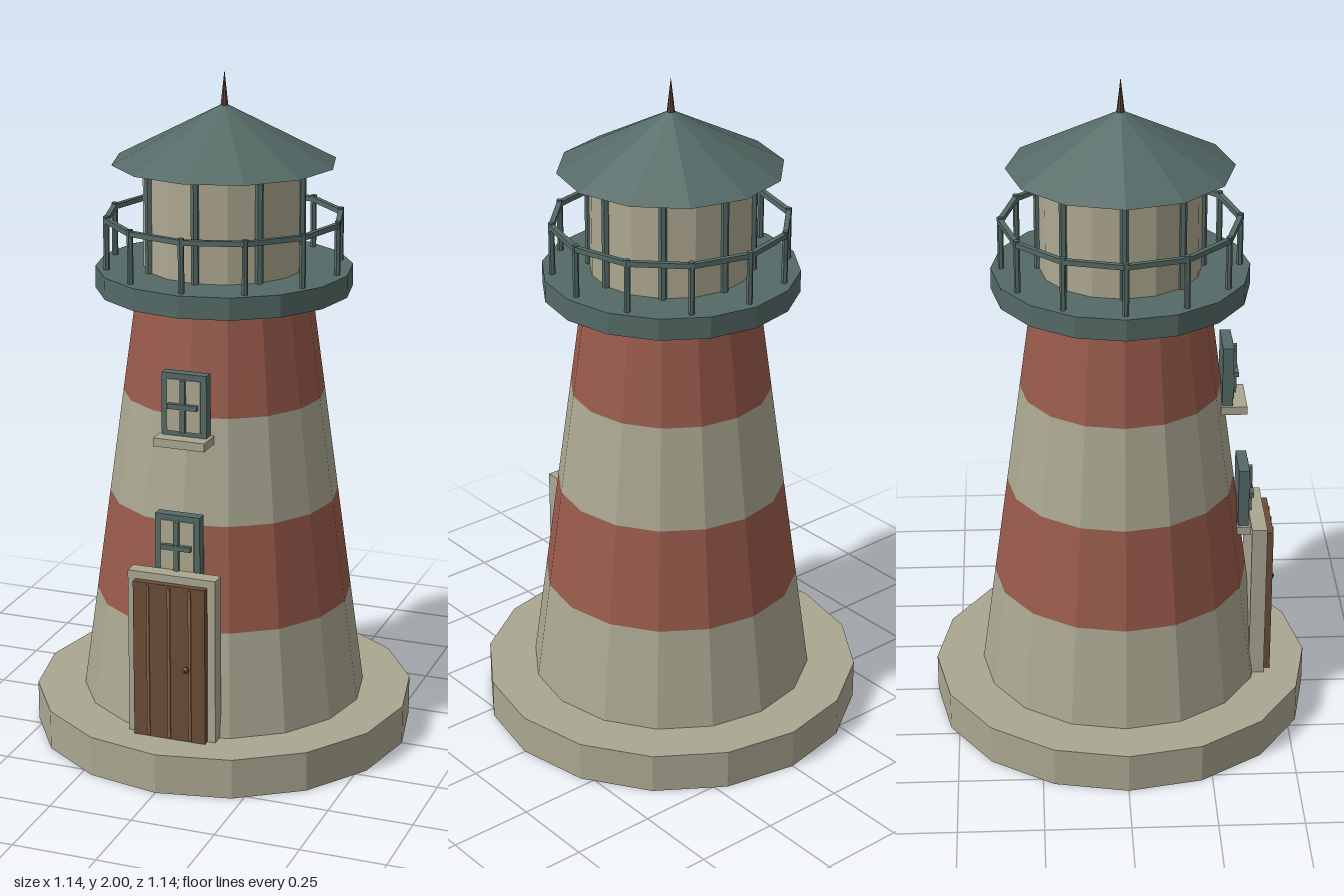
import * as THREE from 'three';

const mat = (name, color) => {
  const m = new THREE.MeshStandardMaterial({ color, flatShading: true });
  m.name = name;
  return m;
};

export function createModel() {
  const model = new THREE.Group();
  model.name = 'lighthouse';

  const cream = mat('cream stone', 0xaaa791);
  const red = mat('faded red', 0x985a4b);
  const teal = mat('slate teal', 0x546a66);
  const glass = mat('pale glass', 0xaea890);
  const wood = mat('door wood', 0x6a4c37);
  const strip = mat('light wood', 0x84644a);
  const bronze = mat('dark bronze', 0x5e4234);

  const add = (name, geometry, material, x = 0, y = 0, z = 0, parent = model) => {
    const mesh = new THREE.Mesh(geometry, material);
    mesh.name = name;
    mesh.position.set(x, y, z);
    parent.add(mesh);
    return mesh;
  };
  // Upright cylinder or cone given by its bottom and top heights
  const drum = (name, rBottom, rTop, y0, y1, sides, material, x = 0, z = 0, parent = model) =>
    add(name, new THREE.CylinderGeometry(rTop, rBottom, y1 - y0, sides), material, x, (y0 + y1) / 2, z, parent);
  // Box centred on x, given by its height and depth ranges
  const block = (name, w, y0, y1, z0, z1, material, x = 0, parent = model) =>
    add(name, new THREE.BoxGeometry(w, y1 - y0, z1 - z0), material, x, (y0 + y1) / 2, (z0 + z1) / 2, parent);

  // Plinth and striped, tapering tower
  drum('plinth', 0.569, 0.569, 0, 0.12, 16, cream);
  const bands = 4, y0 = 0.12, y1 = 1.365;
  const radius = t => 0.425 - 0.17 * t;
  const height = t => y0 + (y1 - y0) * t;
  for (let i = 0; i < bands; i++) {
    const a = i / bands, b = (i + 1) / bands;
    drum('towerBand', radius(a), radius(b), height(a), height(b), 16, i % 2 ? red : cream);
  }

  // Gallery deck and railing
  drum('galleryDeck', 0.375, 0.375, 1.365, 1.43, 16, teal);
  const railing = new THREE.Group();
  railing.name = 'railing';
  model.add(railing);
  const posts = 12, railR = 0.344;
  for (let i = 0; i < posts; i++) {
    const a = (i / posts) * Math.PI * 2;
    drum('railPost', 0.009, 0.009, 1.43, 1.587, 6, teal, railR * Math.sin(a), railR * Math.cos(a), railing);
    const mid = a + Math.PI / posts, r = railR * Math.cos(Math.PI / posts);
    const bar = add('handRail', new THREE.BoxGeometry(2 * railR * Math.sin(Math.PI / posts), 0.015, 0.015),
      teal, r * Math.sin(mid), 1.575, r * Math.cos(mid), railing);
    bar.rotation.y = mid;
  }

  // Lantern room with eight glazing bars
  drum('lanternGlass', 0.235, 0.235, 1.43, 1.735, 16, glass);
  for (let i = 0; i < 8; i++) {
    const a = (i / 8) * Math.PI * 2;
    drum('glazingBar', 0.012, 0.012, 1.43, 1.735, 6, teal, 0.236 * Math.sin(a), 0.236 * Math.cos(a));
  }

  // Roof and spike
  add('roof', new THREE.ConeGeometry(0.327, 0.17, 12), teal, 0, 1.82, 0);
  add('spike', new THREE.ConeGeometry(0.015, 0.13, 8), bronze, 0, 1.935, 0);

  // Door with surround, plank strips and knob
  const door = new THREE.Group();
  door.name = 'door';
  model.add(door);
  block('doorSurround', 0.268, 0.12, 0.62, 0.388, 0.434, cream, 0, door);
  block('doorLeaf', 0.22, 0.12, 0.597, 0.41, 0.455, wood, 0, door);
  for (const x of [-0.064, 0, 0.064])
    block('plankStrip', 0.008, 0.125, 0.59, 0.453, 0.459, strip, x, door);
  add('doorKnob', new THREE.SphereGeometry(0.01, 8, 6), bronze, 0.057, 0.35, 0.469, door);

  // Windows: frame, pane, cross bars and sill
  const addWindow = (y, z) => {
    const w = new THREE.Group();
    w.name = 'window';
    w.position.set(0, y, z);
    model.add(w);
    block('windowFrame', 0.136, -0.09, 0.095, -0.016, 0.016, teal, 0, w);
    block('windowPane', 0.102, -0.076, 0.078, 0.014, 0.02, glass, 0, w);
    block('uprightBar', 0.015, -0.076, 0.078, 0.016, 0.03, teal, 0, w);
    block('crossBar', 0.09, -0.007, 0.008, 0.016, 0.033, teal, 0, w);
    block('windowSill', 0.155, -0.115, -0.09, -0.02, 0.058, cream, 0, w);
  };
  addWindow(1.095, 0.312);
  addWindow(0.69, 0.367);

  return model;
}
